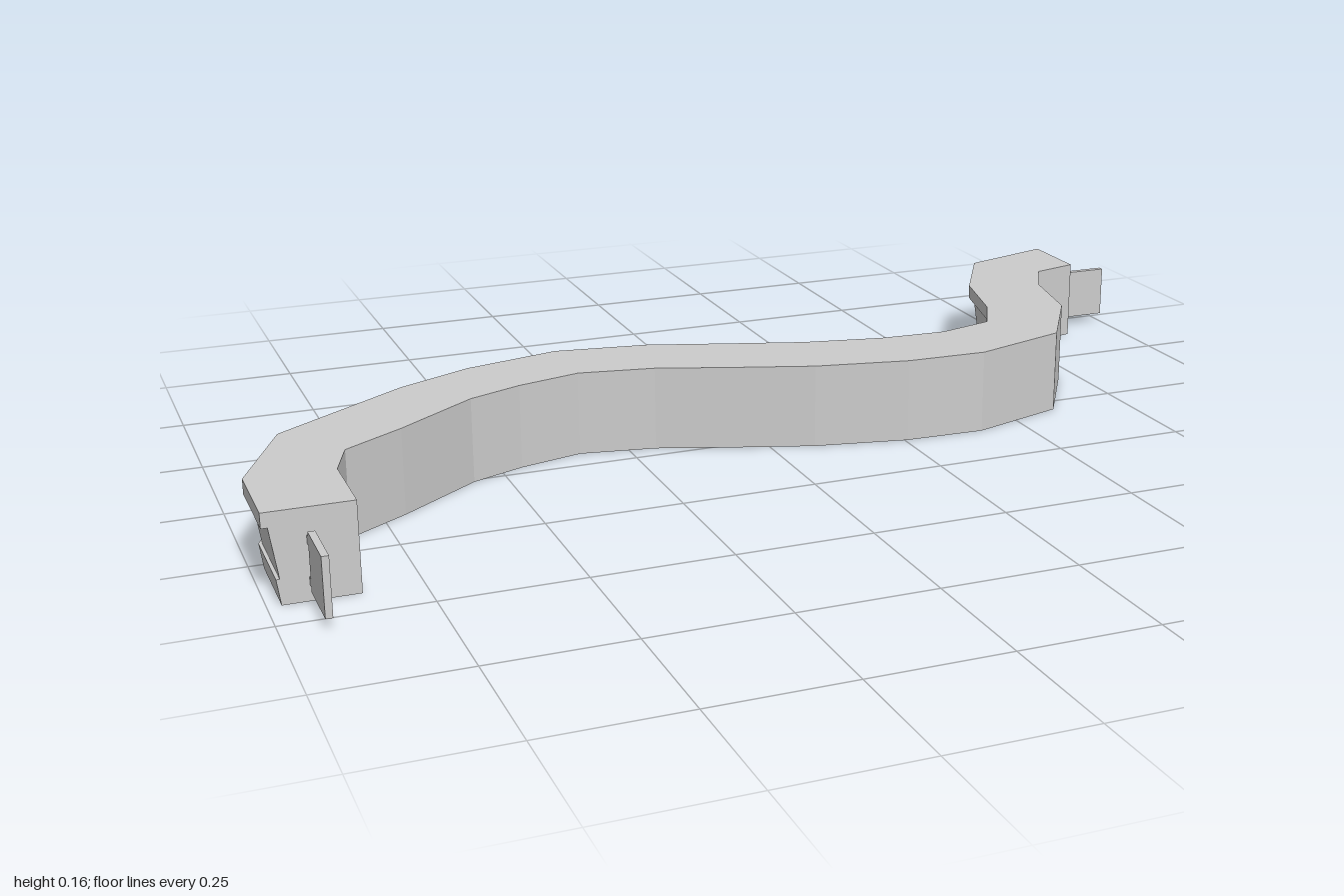
import * as THREE from 'three';

const material = new THREE.MeshStandardMaterial({ color: 0xcccccc, flatShading: true });

// Plan stations along the rail: [back x, back z, front x, front z]
const stations = [
  [-1, 0.425, -0.85, 0.425], [-1, 0.265, -0.85, 0.275], [-0.91, 0.07, -0.82, 0.19],
  [-0.8, -0.005, -0.71, 0.12], [-0.66, -0.1, -0.56, 0.01], [-0.52, -0.165, -0.46, -0.03],
  [-0.34, -0.207, -0.34, -0.06], [-0.165, -0.18, -0.2, -0.035], [-0.02, -0.13, -0.07, 0.013],
  [0.12, -0.083, 0.08, 0.065], [0.27, -0.052, 0.255, 0.1], [0.4, -0.045, 0.41, 0.105],
  [0.51, -0.075, 0.6, 0.045], [0.56, -0.17, 0.705, -0.12], [0.6, -0.325, 0.74, -0.28],
  [0.695, -0.485, 0.79, -0.37], [0.883, -0.542, 0.883, -0.394],
];

// Cross-section: [fraction from front to back, height], flat front and moulded back
const profile = [
  [0, 0], [0.845, 0], [0.885, 0.044], [0.845, 0.044], [0.93, 0.131], [1, 0.131], [1, 0.157], [0, 0.157],
];

function sweptRail() {
  const rings = stations.map(([bx, bz, fx, fz]) =>
    profile.map(([t, y]) => [fx + (bx - fx) * t, y, fz + (bz - fz) * t]));
  const positions = [];
  const tri = (a, b, c) => positions.push(...a, ...b, ...c);
  // Skin between neighbouring rings
  for (let i = 0; i < rings.length - 1; i++) {
    for (let j = 0; j < profile.length; j++) {
      const k = (j + 1) % profile.length;
      tri(rings[i][j], rings[i][k], rings[i + 1][k]);
      tri(rings[i][j], rings[i + 1][k], rings[i + 1][j]);
    }
  }
  // End caps
  const contour = profile.map(([t, y]) => new THREE.Vector2(t, y));
  const first = rings[0];
  const last = rings[rings.length - 1];
  for (const [a, b, c] of THREE.ShapeUtils.triangulateShape(contour, [])) {
    tri(last[a], last[b], last[c]);
    tri(first[a], first[c], first[b]);
  }
  const geometry = new THREE.BufferGeometry();
  geometry.setAttribute('position', new THREE.Float32BufferAttribute(positions, 3));
  geometry.computeVertexNormals();
  return geometry;
}

// Thin end plate on two short tabs, pointing along local +x
function connector(name, x, z, angle) {
  const group = new THREE.Group();
  group.name = name;
  const addBox = (part, x0, x1, y0, y1) => {
    const mesh = new THREE.Mesh(new THREE.BoxGeometry(x1 - x0, y1 - y0, 0.012), material);
    mesh.position.set((x0 + x1) / 2, (y0 + y1) / 2, 0);
    mesh.name = part;
    group.add(mesh);
  };
  addBox('plate', 0.01, 0.117, 0.018, 0.12);
  addBox('upperTab', -0.01, 0.01, 0.097, 0.111);
  addBox('lowerTab', -0.01, 0.01, 0.027, 0.041);
  group.position.set(x, 0, z);
  group.rotation.y = angle;
  return group;
}

export function createModel() {
  const model = new THREE.Group();
  model.name = 'curvedRail';
  const rail = new THREE.Mesh(sweptRail(), material);
  rail.name = 'rail';
  model.add(rail);
  model.add(connector('rightEndConnector', -0.925, 0.425, -Math.PI / 2));
  model.add(connector('leftEndConnector', 0.883, -0.462, 0));
  return model;
}
